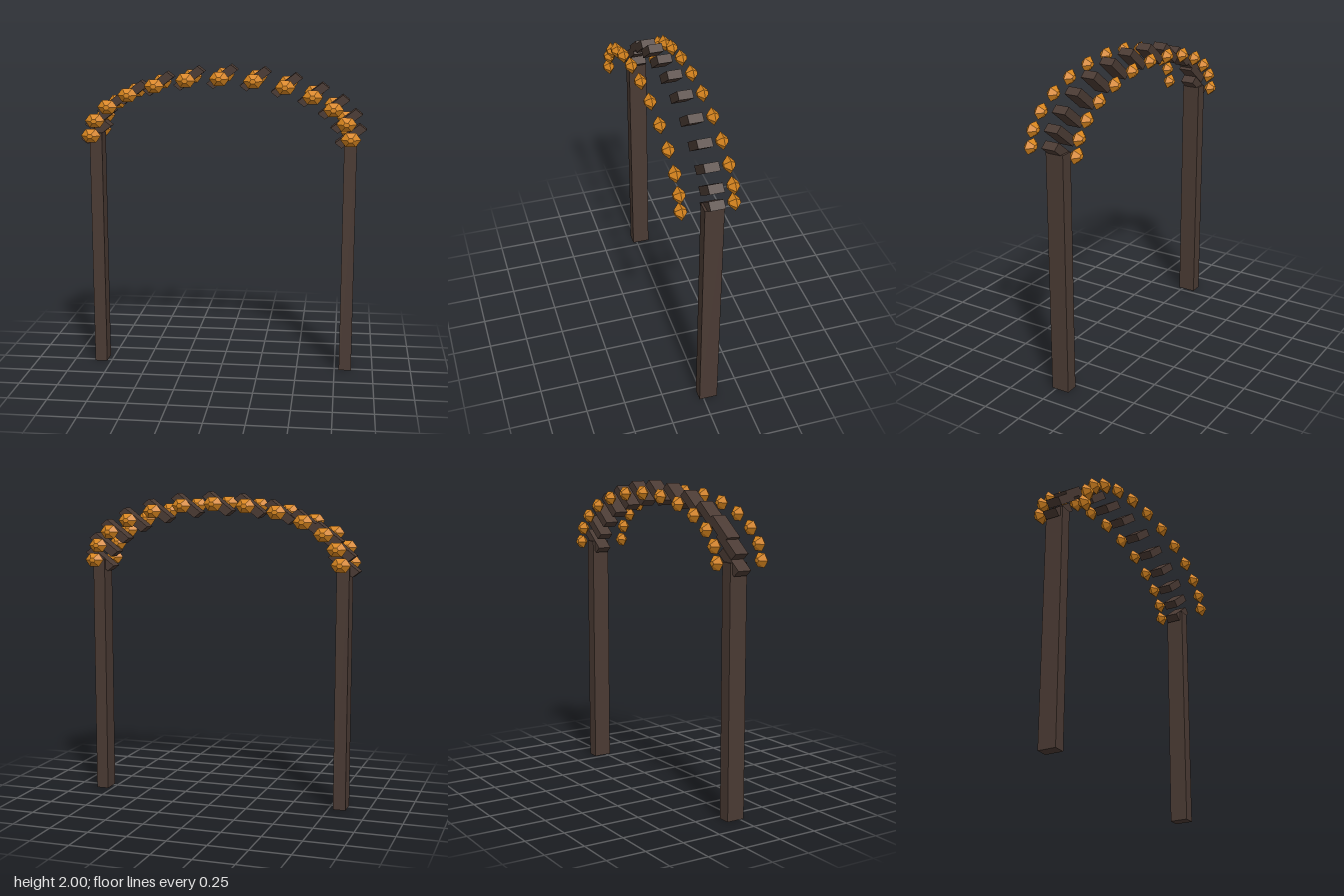
import * as THREE from 'three';

export function createModel() {
  const model = new THREE.Group();
  model.name = 'archway';
  const wood = new THREE.MeshStandardMaterial({ color: 0x4a3a33, flatShading: true });
  const amber = new THREE.MeshStandardMaterial({ color: 0xd9861f, flatShading: true });

  const springY = 1.555, radiusX = 0.82, radiusY = 0.3675, squash = 0.775;
  const frameZ = -0.032, lampZ = 0.16;

  const add = (name, geometry, material, x, y, z) => {
    const mesh = new THREE.Mesh(geometry, material);
    mesh.name = name;
    mesh.position.set(x, y, z);
    model.add(mesh);
  };

  // Two upright posts
  const postGeometry = new THREE.BoxGeometry(0.08, springY, 0.118);
  add('leftPost', postGeometry, wood, radiusX, springY / 2, frameZ);
  add('rightPost', postGeometry, wood, -radiusX, springY / 2, frameZ);

  // Slat tilted 45 degrees, then flattened in height
  const slatGeometry = new THREE.BoxGeometry(0.22, 0.063, 0.09);
  slatGeometry.rotateZ(Math.PI / 4).scale(1, squash, 1);

  // Six-sided faceted lamp with its axis along z, flattened in height
  const profile = [[0, -0.034], [0.02, -0.034], [0.064, 0], [0.02, 0.034], [0, 0.034]]
    .map(([r, h]) => new THREE.Vector2(r, h));
  const lampGeometry = new THREE.LatheGeometry(profile, 6, Math.PI / 2);
  lampGeometry.rotateX(Math.PI / 2).scale(1, squash, 1);

  // Thirteen slats along the arch, each with a lamp in front and behind
  for (let i = 0; i <= 12; i++) {
    const angle = (i * Math.PI) / 12;
    const x = radiusX * Math.cos(angle);
    const y = springY + radiusY * Math.sin(angle);
    add('archSlat', slatGeometry, wood, x, y, frameZ);
    add('frontLamp', lampGeometry, amber, x, y, lampZ);
    add('backLamp', lampGeometry, amber, x, y, -lampZ);
  }
  return model;
}
